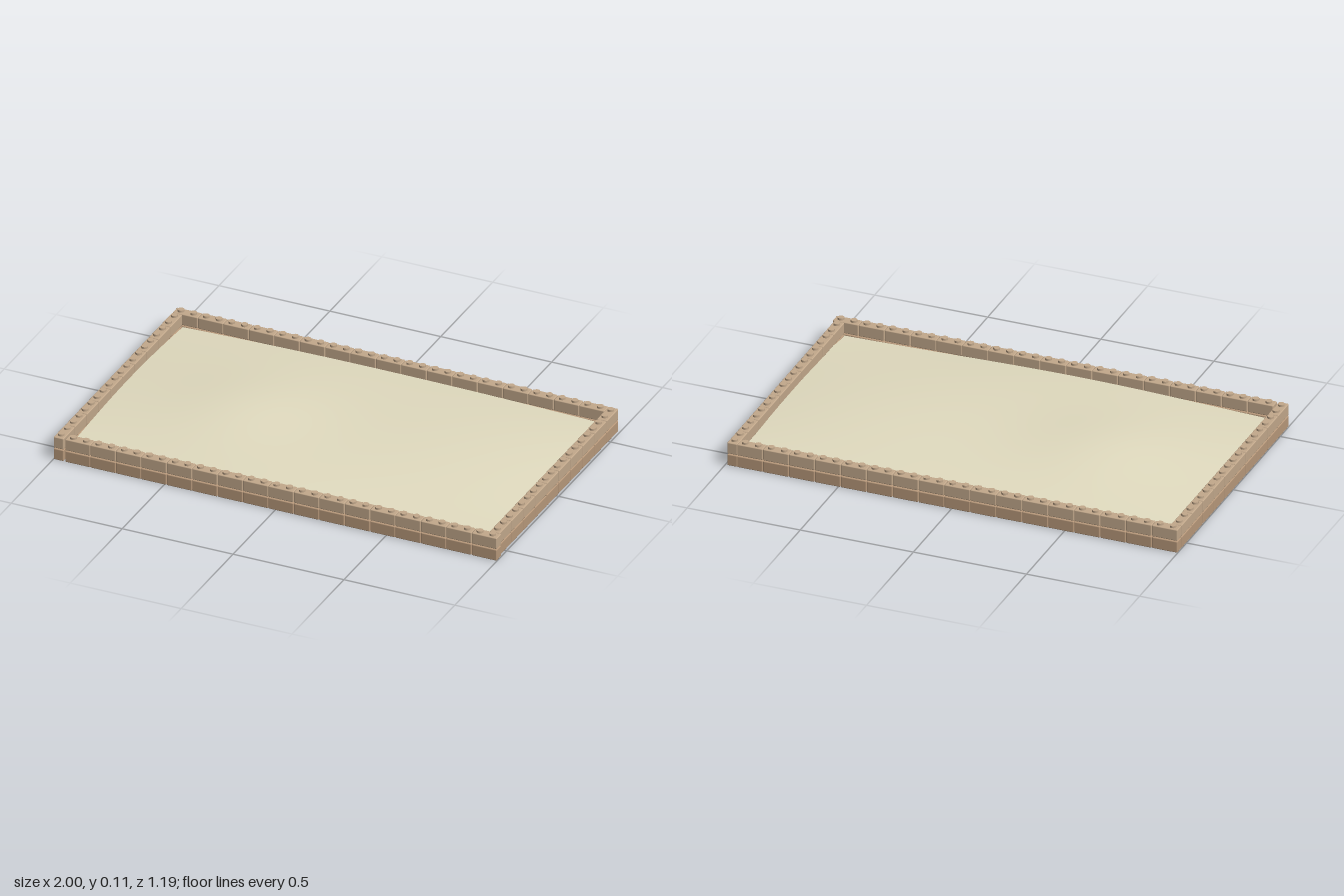
import * as THREE from 'three';
import { RoundedBoxGeometry } from 'three/addons/geometries/RoundedBoxGeometry.js';

const PITCH = 0.1146;   // length of one brick plus joint
const WIDTH = 0.046;    // thickness of the wall
const HX = 1, HZ = 0.596;

const material = color => new THREE.MeshStandardMaterial({ color });

// Broad mound that reaches the walls, lowest in the corners, with soft waves
function sandHeight(x, z) {
  const waves = 0.005 * Math.sin(4.1 * x - 1.2) * Math.cos(3.7 * z + 0.4);
  const dome = (1 - (x / 1.35) ** 2) * (1 - (z / 0.75) ** 2);
  const peak = 0.02 * Math.exp(-((x + 0.42) ** 2 + z * z) / 0.09);
  return 0.032 + waves + 0.062 * dome + peak;
}

export function createModel() {
  const model = new THREE.Group();
  const layerMats = [material(0xb8997b), material(0xc3a98c)];
  const brickGeo = new RoundedBoxGeometry(PITCH - 0.002, 0.051, WIDTH - 0.001, 2, 0.004);
  const studGeo = new THREE.CylinderGeometry(0.014, 0.014, 0.014, 14);

  function makeBrick(mat) {
    const brick = new THREE.Group();
    brick.name = 'brick';
    const body = new THREE.Mesh(brickGeo, mat);
    body.name = 'brickBody';
    brick.add(body);
    for (const side of [-1, 1]) {
      const stud = new THREE.Mesh(studGeo, mat);
      stud.name = 'stud';
      stud.position.set(side * PITCH / 4, 0.0275, 0);
      brick.add(stud);
    }
    return brick;
  }

  // Four walls laid pinwheel fashion, each overlapping the next corner
  const half = WIDTH / 2;
  const walls = [
    { name: 'backWall', count: 17, x: -HX, z: -HZ + half, alongX: true },
    { name: 'frontWall', count: 17, x: HX - 17 * PITCH, z: HZ - half, alongX: true },
    { name: 'rightSideWall', count: 10, x: -HX + half, z: HZ - 10 * PITCH, alongX: false },
    { name: 'leftSideWall', count: 10, x: HX - half - 0.008, z: -HZ, alongX: false },
  ];
  for (const w of walls) {
    const wall = new THREE.Group();
    wall.name = w.name;
    for (let layer = 0; layer < 2; layer++) {
      for (let i = 0; i < w.count; i++) {
        const brick = makeBrick(layerMats[layer]);
        const d = (i + 0.5) * PITCH;
        brick.position.set(w.x + (w.alongX ? d : 0), 0.0255 + layer * 0.0545, w.z + (w.alongX ? 0 : d));
        if (!w.alongX) brick.rotation.y = Math.PI / 2;
        wall.add(brick);
      }
    }
    model.add(wall);
  }

  // Sand filling: flat underneath, wavy on top
  const sandGeo = new THREE.BoxGeometry(2 * (HX - WIDTH) - 0.002, 1, 2 * (HZ - WIDTH) + 0.002, 48, 1, 28);
  const p = sandGeo.attributes.position;
  for (let i = 0; i < p.count; i++) {
    p.setY(i, p.getY(i) > 0 ? sandHeight(p.getX(i), p.getZ(i)) : 0.004);
  }
  sandGeo.computeVertexNormals();
  const sand = new THREE.Mesh(sandGeo, material(0xe2dcc0));
  sand.name = 'sand';
  model.add(sand);

  return model;
}
